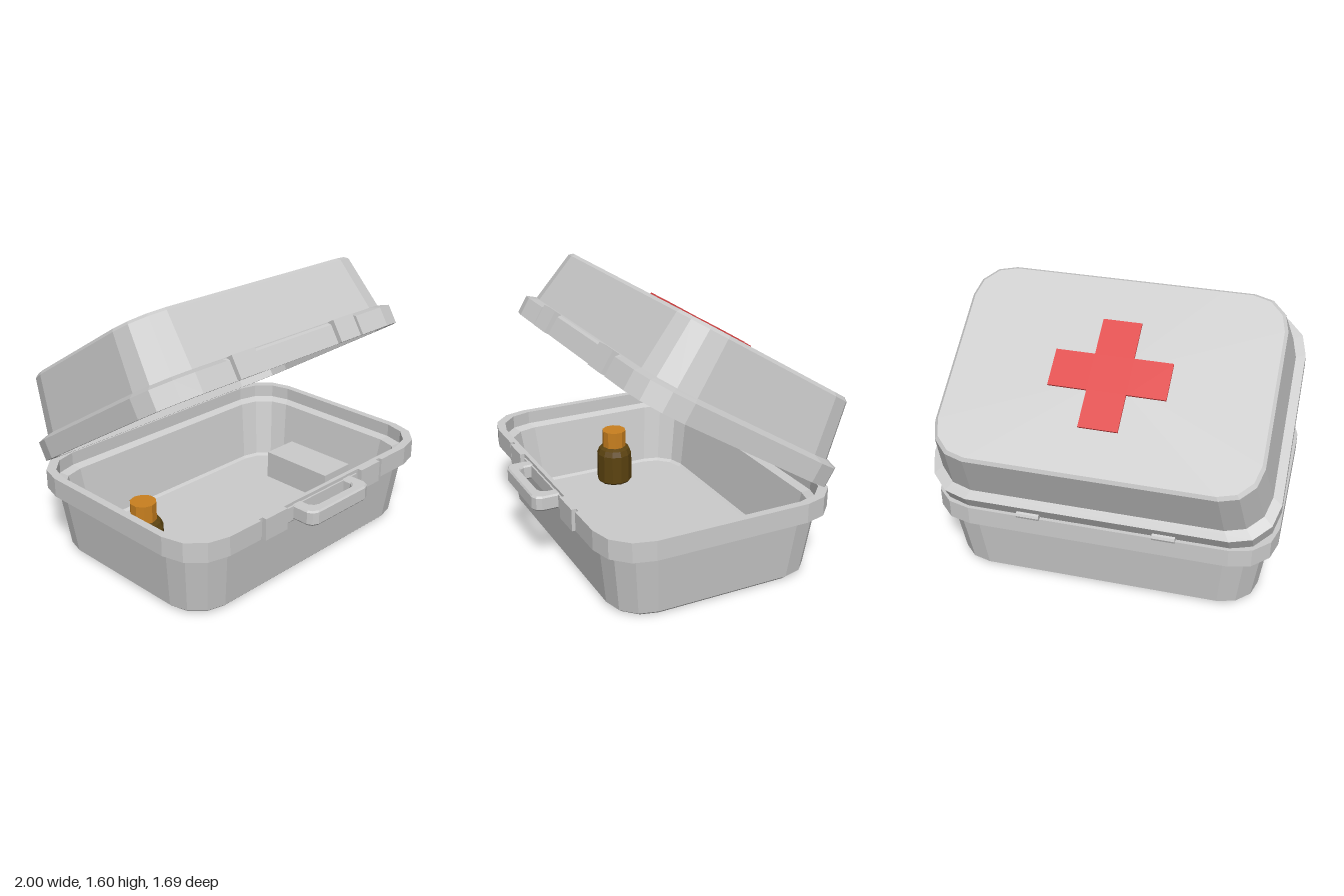
import * as THREE from 'three';

const mat = (color, extra = {}) => new THREE.MeshStandardMaterial({ color, flatShading: true, ...extra });
const grey = mat(0xcccccc);
const red = mat(0xdd4848);
const amber = mat(0x5c4310);
const orange = mat(0xc9801f);

function add(parent, name, geometry, material, x = 0, y = 0, z = 0) {
  const mesh = new THREE.Mesh(geometry, material);
  mesh.name = name;
  mesh.position.set(x, y, z);
  parent.add(mesh);
  return mesh;
}
const box = (w, h, d) => new THREE.BoxGeometry(w, h, d);

// One rounded-rectangle outline; the front edge can be set back for the clasps
function ring([inset, y, notch = 0]) {
  const hx = 1 - inset, hz = 0.71 - inset, r = 0.25 - inset * 0.4;
  const points = [];
  [[1, 1], [-1, 1], [-1, -1], [1, -1]].forEach(([sx, sz], corner) => {
    for (let i = 0; i <= 3; i++) {
      const a = (corner + i / 3) * Math.PI / 2;
      points.push([sx * (hx - r) + r * Math.cos(a), y, sz * (hz - r) + r * Math.sin(a)]);
    }
    if (corner === 0) {
      for (const [x, d] of [[0.52, 0], [0.52, notch], [-0.52, notch], [-0.52, 0]]) points.push([x, y, hz - d]);
    }
  });
  return points;
}

// Hollow half of the case: outer wall, rim, inner ledge, inner wall, floor
function shell(h) {
  const rim = h - 0.125;
  const rings = [
    [0.115, 0], [0.097, 0.018], [0.052, rim - 0.012], [0.035, rim - 0.005], [0, rim + 0.01, 0.02],
    [0, h, 0.02], [0.045, h], [0.045, h - 0.08], [0.085, h - 0.1], [0.14, 0.04], [0.16, 0.028],
  ].map(ring);
  const n = rings[0].length;
  const position = rings.flat(2);
  const index = [];
  for (let k = 0; k < rings.length - 1; k++) {
    for (let j = 0; j < n; j++) {
      const a = k * n + j, b = k * n + (j + 1) % n;
      index.push(a, a + n, b + n, a, b + n, b);
    }
  }
  const bottom = position.length / 3, last = (rings.length - 1) * n;
  position.push(0, 0, 0, 0, 0.028, 0);
  for (let j = 0; j < n; j++) {
    const next = (j + 1) % n;
    index.push(bottom, j, next, bottom + 1, last + next, last + j);
  }
  const g = new THREE.BufferGeometry();
  g.setAttribute('position', new THREE.Float32BufferAttribute(position, 3));
  g.setIndex(index);
  g.computeVertexNormals();
  return g;
}

function crossShape(l, w) {
  return new THREE.Shape([
    [w, w], [w, l], [-w, l], [-w, w], [-l, w], [-l, -w],
    [-w, -w], [-w, -l], [w, -l], [w, -w], [l, -w], [l, w],
  ].map(([x, y]) => new THREE.Vector2(x, y)));
}

// Carry handle outline: a U with clipped corners
function handleGeometry() {
  const half = [[0.25, 0], [0.25, 0.12], [0.235, 0.15], [0.2, 0.165]];
  const inner = [[0.14, 0.105], [0.165, 0.095], [0.18, 0.07], [0.18, 0]];
  const right = [...half];
  const left = [...half].reverse().map(([x, y]) => [-x, y]);
  const innerLeft = [...inner].reverse().map(([x, y]) => [-x, y]);
  const outline = [...right, ...left, ...innerLeft, ...inner].map(([x, y]) => new THREE.Vector2(x, y));
  return new THREE.ExtrudeGeometry(new THREE.Shape(outline), {
    depth: 0.07, bevelEnabled: true, bevelThickness: 0.01, bevelSize: 0.008, bevelOffset: -0.008, bevelSegments: 1,
  }).rotateX(Math.PI / 2);
}

export function createModel() {
  const model = new THREE.Group();
  model.name = 'firstAidCase';

  // Base
  const base = new THREE.Group();
  base.name = 'base';
  base.position.z = 0.015;
  model.add(base);
  add(base, 'baseShell', shell(0.505), grey);
  add(base, 'handlePlate', box(0.6, 0.08, 0.03), grey, 0, 0.445, 0.685);
  add(base, 'handle', handleGeometry(), grey, 0, 0.48, 0.675);

  // Lid, tilted open around the back edge
  const lid = new THREE.Group();
  lid.name = 'lid';
  lid.position.set(0, 0.5, -0.67);
  lid.rotation.x = -0.55;
  model.add(lid);
  const lidHeight = 0.485;
  const lidShell = add(lid, 'lidShell', shell(lidHeight), grey, 0, lidHeight, 0.71);
  lidShell.rotation.z = Math.PI;
  const cross = new THREE.ExtrudeGeometry(crossShape(0.33, 0.11), { depth: 0.02, bevelEnabled: false });
  add(lid, 'cross', cross.rotateX(-Math.PI / 2), red, 0, lidHeight - 0.008, 0.71);

  // Clasps and hinges
  for (const s of [-1, 1]) {
    add(base, 'baseClasp', box(0.17, 0.13, 0.045), grey, s * 0.405, 0.44, 0.696);
    add(lid, 'lidClasp', box(0.17, 0.135, 0.045), grey, s * 0.405, 0.068, 1.406);
    add(model, 'hinge', new THREE.CylinderGeometry(0.022, 0.022, 0.13, 8).rotateZ(Math.PI / 2), grey, s * 0.39, 0.52, -0.692);
  }

  // Contents: medicine bottle and a small carton
  const bottle = new THREE.Group();
  bottle.name = 'bottle';
  bottle.position.set(-0.68, 0.028, -0.05);
  model.add(bottle);
  const profile = [[0, 0], [0.105, 0], [0.115, 0.012], [0.115, 0.2], [0.1, 0.235], [0.065, 0.25], [0.065, 0.27], [0, 0.27]]
    .map(([x, y]) => new THREE.Vector2(x, y));
  add(bottle, 'bottleBody', new THREE.LatheGeometry(profile, 12), amber);
  add(bottle, 'bottleCap', new THREE.CylinderGeometry(0.078, 0.078, 0.11, 10), orange, 0, 0.305, 0);
  add(model, 'carton', box(0.24, 0.18, 0.5), grey, 0.69, 0.118, 0.01);

  return model;
}
